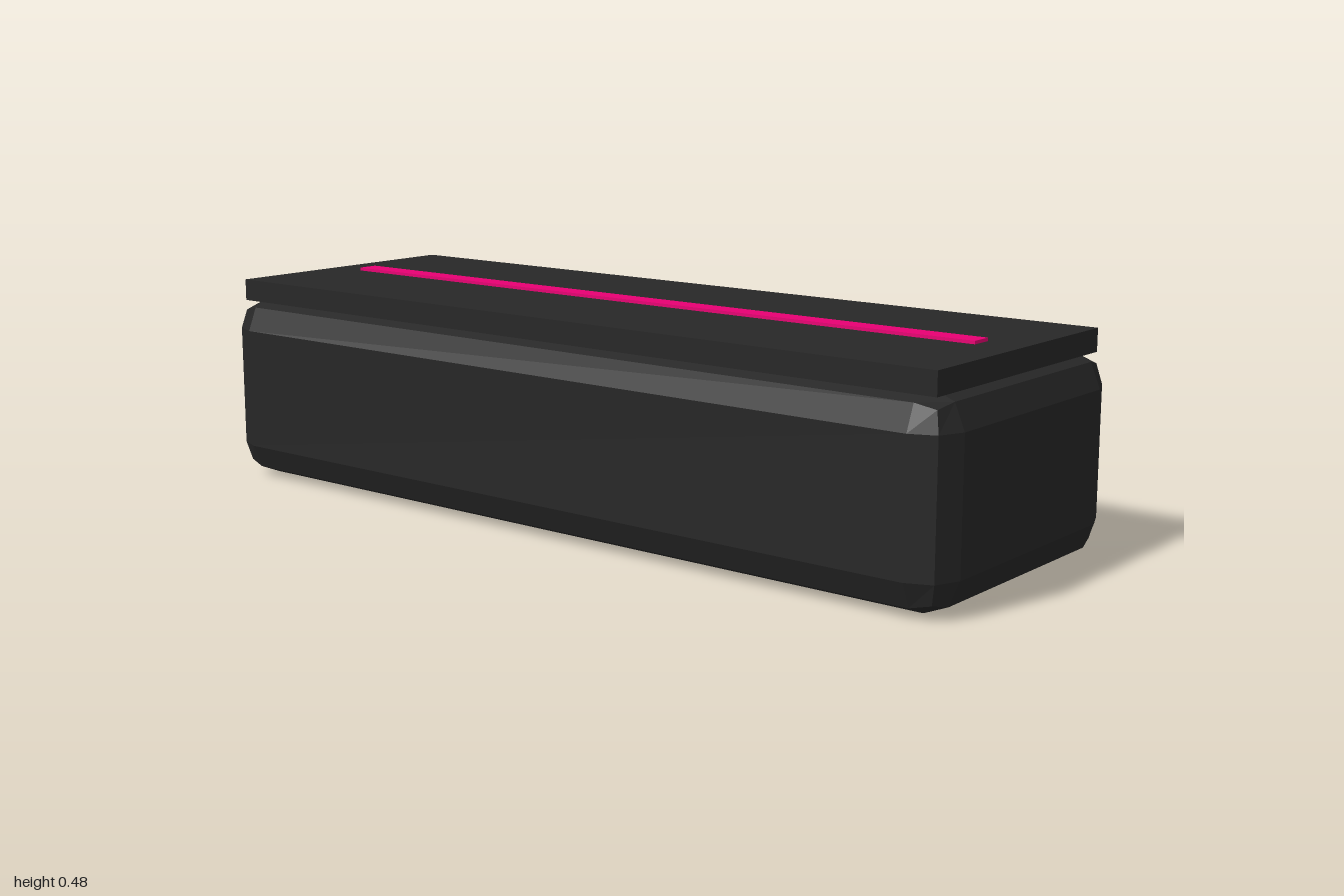
import * as THREE from 'three';
import { RoundedBoxGeometry } from 'three/addons/geometries/RoundedBoxGeometry.js';

export function createModel() {
  const model = new THREE.Group();
  model.name = 'storageCase';

  const material = (name, color) => {
    const m = new THREE.MeshStandardMaterial({ color });
    m.name = name;
    return m;
  };
  const charcoal = material('charcoal', 0x272727);
  const magenta = material('magenta', 0xff0080);
  const cyan = material('cyan', 0x00f0ff);

  const add = (name, geometry, mat, x, y, z, parent = model) => {
    const mesh = new THREE.Mesh(geometry, mat);
    mesh.name = name;
    mesh.position.set(x, y, z);
    parent.add(mesh);
    return mesh;
  };

  // Box given by its extents along each axis
  const addBox = (name, mat, [x0, x1], [y0, y1], [z0, z1], parent) =>
    add(name, new THREE.BoxGeometry(x1 - x0, y1 - y0, z1 - z0), mat,
      (x0 + x1) / 2, (y0 + y1) / 2, (z0 + z1) / 2, parent);

  // Case body with faceted, two-step rounded edges
  const bodyGeometry = new RoundedBoxGeometry(2, 0.436, 0.69, 1, 0.077);
  bodyGeometry.computeVertexNormals();
  add('body', bodyGeometry, charcoal, 0, 0.218, 0.055);

  // Lid slab and its stripe
  addBox('lid', charcoal, [-0.967, 0.967], [0.427, 0.477], [-0.259, 0.369]);
  addBox('lidStripe', magenta, [-0.876, 0.876], [0.475, 0.484], [0.03, 0.08]);

  // Carry handle, standing off the back
  addBox('handle', charcoal, [-0.25, 0.25], [0.245, 0.32], [-0.398, -0.325]);

  // Pair of latches with small indicator plates
  for (const side of [-1, 1]) {
    const latch = new THREE.Group();
    latch.name = side > 0 ? 'leftLatch' : 'rightLatch';
    latch.position.x = side * 0.625;
    model.add(latch);
    addBox('latchBlock', charcoal, [-0.109, 0.109], [0.205, 0.36], [-0.329, -0.28], latch);
    addBox('latchLight', cyan, [-0.07, 0.07], [0.264, 0.301], [-0.341, -0.328], latch);
  }

  return model;
}
